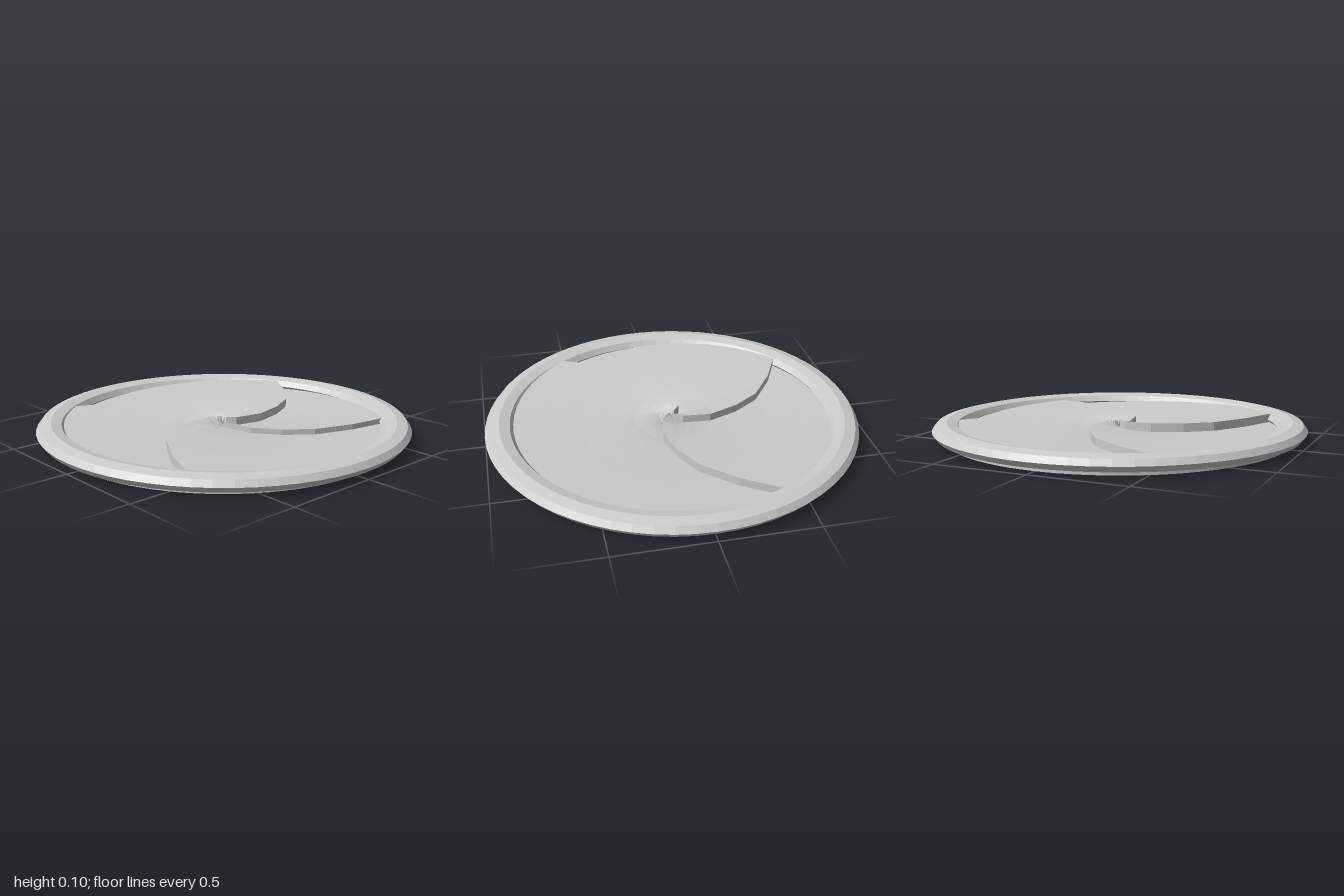
import * as THREE from 'three';

const material = new THREE.MeshStandardMaterial({ color: 0xcccccc, flatShading: true });

// Spiral edge shared by all blades: [radius, angle in degrees from +x towards +z]
const edge = [[0.012, -20], [0.07, -45], [0.21, -73], [0.36, -90], [0.51, -101],
  [0.69, -114], [0.86, -123], [0.925, -126]];

// One sloping blade between two spiral edges, lofted outwards from the centre
function bladeGeometry(start, width) {
  const steps = 24, low = 0.042, rise = 0.00045 * width;
  // Repeated flat stations at both ends close the solid
  const stations = [[...edge[0], 0], ...edge.map(([r, a]) => [r, a, 1]), [...edge[edge.length - 1], 0]];
  const position = [], index = [];
  for (const [r, a, raised] of stations) {
    const put = (v, y) => {
      const t = THREE.MathUtils.degToRad(a + start + v * width);
      position.push(r * Math.cos(t), y, r * Math.sin(t));
    };
    for (let j = 0; j <= steps; j++) put(j / steps, raised * (low + rise * j / steps));
    for (let j = steps; j >= 0; j--) put(j / steps, 0);
  }
  const m = 2 * (steps + 1);
  for (let i = 0; i < stations.length - 1; i++) {
    for (let j = 0; j < m; j++) {
      const a = i * m + j, a2 = i * m + (j + 1) % m;
      index.push(a, a2, a + m, a2, a2 + m, a + m);
    }
  }
  const g = new THREE.BufferGeometry();
  g.setAttribute('position', new THREE.Float32BufferAttribute(position, 3));
  g.setIndex(index);
  g.computeVertexNormals();
  return g;
}

export function createModel() {
  const model = new THREE.Group();
  model.name = 'irisDisc';

  // Flattened eight-sided rim
  const tube = 0.078;
  const ring = new THREE.TorusGeometry(1 - tube, tube, 8, 64);
  ring.rotateX(-Math.PI / 2);
  ring.scale(1, 0.043 / tube, 1);
  ring.translate(0, 0.057, 0);
  const rim = new THREE.Mesh(ring, material);
  rim.name = 'rim';
  model.add(rim);

  // Four overlapping blades, each rising to a step at the next one
  const starts = [0, 98, 164, 267, 360];
  const blades = new THREE.Group();
  blades.name = 'blades';
  for (let i = 0; i < 4; i++) {
    const blade = new THREE.Mesh(bladeGeometry(starts[i], starts[i + 1] - starts[i]), material);
    blade.name = 'blade' + (i + 1);
    blades.add(blade);
  }
  model.add(blades);
  return model;
}
